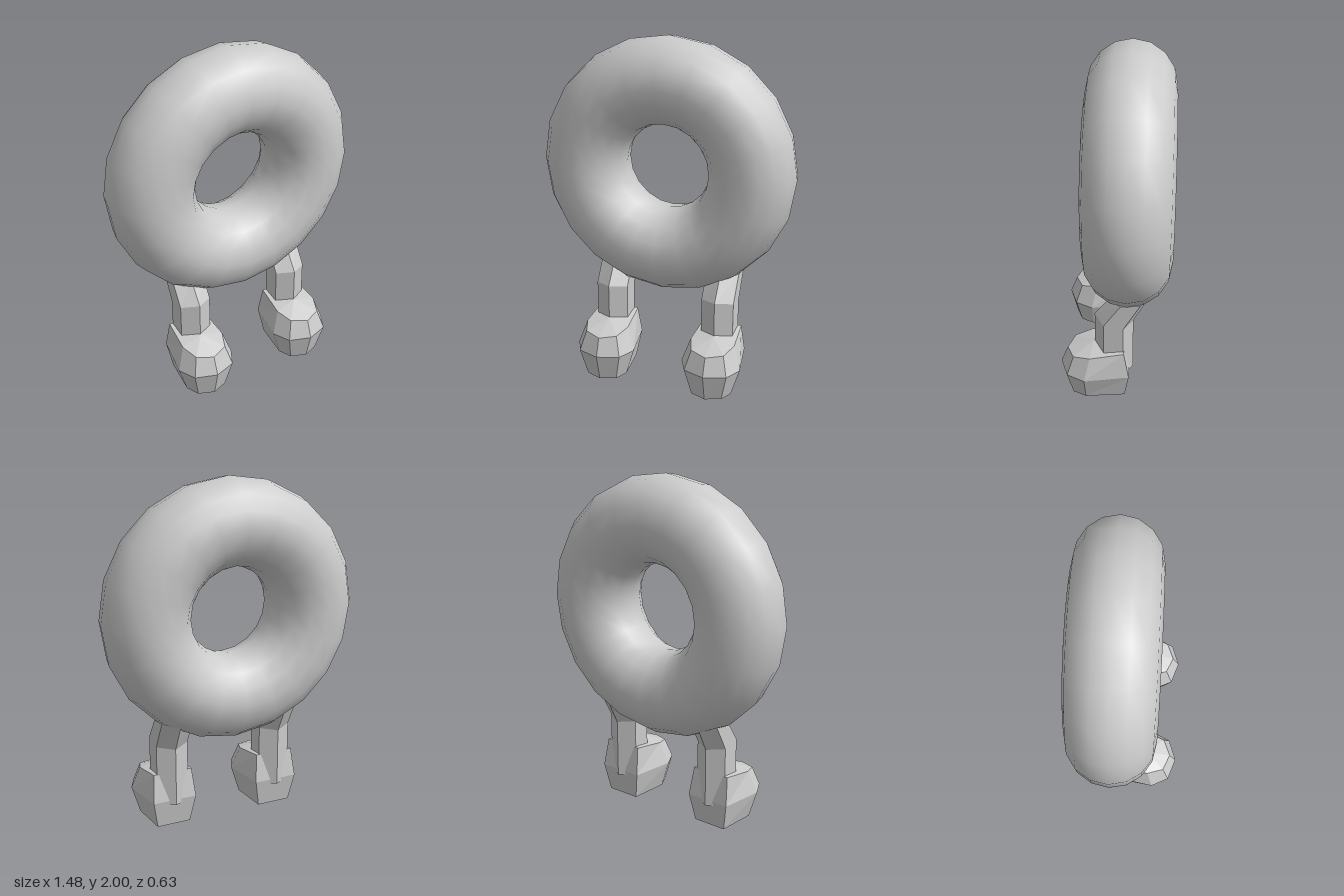
import * as THREE from 'three';

const smooth = new THREE.MeshStandardMaterial({ color: 0xcccccc });
const faceted = new THREE.MeshStandardMaterial({ color: 0xcccccc, flatShading: true });

// Skins equal-length rings (counter-clockwise seen from above, bottom to top) and caps both ends.
function loft(rings, bottomCentre, topCentre) {
  const n = rings[0].length;
  const points = [...rings.flat(), bottomCentre, topCentre];
  const bottom = rings.length * n, top = bottom + 1, last = (rings.length - 1) * n;
  const index = [];
  for (let i = 0; i < n; i++) {
    const j = (i + 1) % n;
    for (let r = 0; r < rings.length - 1; r++) {
      const a = r * n + i, b = r * n + j;
      index.push(a, b, b + n, a, b + n, a + n);
    }
    index.push(bottom, j, i, top, last + i, last + j);
  }
  const geometry = new THREE.BufferGeometry();
  geometry.setAttribute('position', new THREE.Float32BufferAttribute(points.flat(), 3));
  geometry.setIndex(index);
  const flat = geometry.toNonIndexed();
  flat.computeVertexNormals();
  return flat;
}

// Hexagonal leg section with a corner facing forward; tilt raises the front.
function legRing(y, z, tilt) {
  return Array.from({ length: 6 }, (_, i) => {
    const a = (i * Math.PI) / 3, c = Math.cos(a);
    return [0.11 * Math.sin(a), y + tilt * c, z + 0.11 * c];
  });
}

// Seven-sided foot section mirrored about x = 0: front tip, two front corners, back corner.
function footRing(tip, corner, side, back) {
  const mirror = ([x, y, z]) => [-x, y, z];
  return [tip, corner, side, back, mirror(back), mirror(side), mirror(corner)];
}

function createLimb(name, x) {
  const limb = new THREE.Group();
  limb.name = name;
  limb.position.x = x;

  // Straight shin and thigh leaning back into the ring
  const leg = new THREE.Mesh(loft(
    [legRing(0.14, 0.005, 0), legRing(0.51, 0.005, 0.022), legRing(0.67, -0.09, -0.01)],
    [0, 0.14, 0.005], [0, 0.67, -0.09]), faceted);
  leg.name = 'leg';

  // Chunky foot, widest at mid height and tapering to the heel
  const foot = new THREE.Mesh(loft([
    footRing([0, 0, 0.275], [0.09, 0, 0.24], [0.125, 0, 0.165], [0.1, 0, -0.06]),
    footRing([0, 0.165, 0.315], [0.125, 0.165, 0.272], [0.175, 0.165, 0.17], [0.13, 0.165, -0.085]),
    footRing([0, 0.27, 0.275], [0.095, 0.28, 0.235], [0.13, 0.3, 0.14], [0.115, 0.33, -0.055]),
  ], [0, 0, 0.13], [0, 0.328, 0.12]), faceted);
  foot.name = 'foot';

  limb.add(leg, foot);
  return limb;
}

export function createModel() {
  const model = new THREE.Group();
  model.name = 'ringWithLegs';

  // Ring-shaped body
  const body = new THREE.Mesh(new THREE.TorusGeometry(0.495, 0.246, 16, 20), smooth);
  body.name = 'ringBody';
  body.rotation.z = Math.PI / 2;
  body.position.set(0, 1.259, -0.07);

  model.add(body, createLimb('leftLimb', 0.345), createLimb('rightLimb', -0.305));
  return model;
}
